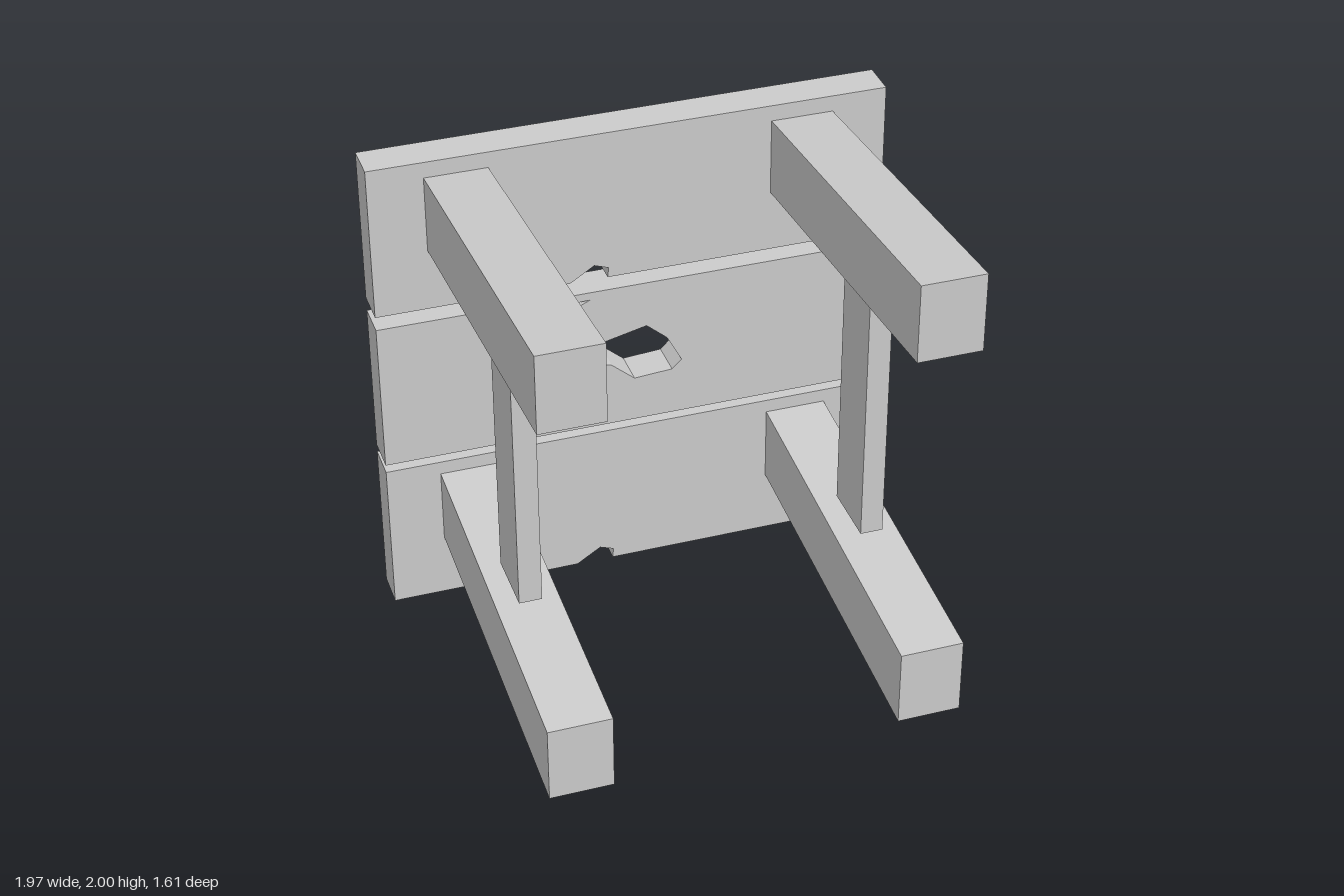
import * as THREE from 'three';

const material = new THREE.MeshStandardMaterial({ color: 0xcccccc, flatShading: true });
const BACK = -0.775, FRONT = -0.63;
const toPoints = (list) => list.map(([x, y]) => new THREE.Vector2(x, y));

function addMesh(parent, name, geometry) {
  const mesh = new THREE.Mesh(geometry, material);
  mesh.name = name;
  parent.add(mesh);
  return mesh;
}

// Board with an optional chipped lower edge and broken holes
function plank(y0, y1, chipped, holes = []) {
  const chip = chipped
    ? [[-0.245, y0], [-0.15, y0 + 0.06], [-0.095, y0 + 0.04], [-0.1, y0]]
    : [];
  const shape = new THREE.Shape(toPoints([[-0.983, y0], ...chip, [0.983, y0], [0.983, y1], [-0.983, y1]]));
  shape.holes = holes.map((h) => new THREE.Path(toPoints(h)));
  const geometry = new THREE.ExtrudeGeometry(shape, { depth: FRONT - BACK, bevelEnabled: false });
  return geometry.translate(0, 0, BACK);
}

// Sloping square beam: side profile in (z, y), extruded across x
function beam(backY, frontY, x) {
  const h = 0.302, width = 0.238;
  const shape = new THREE.Shape(toPoints([
    [FRONT, backY], [0.805, frontY], [0.805, frontY + h], [FRONT, backY + h],
  ]));
  const geometry = new THREE.ExtrudeGeometry(shape, { depth: width, bevelEnabled: false });
  geometry.translate(0, 0, -width / 2);
  geometry.rotateY(-Math.PI / 2); // profile x becomes z
  return geometry.translate(x, 0, 0);
}

export function createModel() {
  const model = new THREE.Group();
  model.name = 'brokenPlankStand';

  // Three back boards
  const crack = [[-0.575, 1.205], [-0.325, 1.147], [-0.17, 1.218]];
  const hole = [[-0.192, 0.94], [-0.12, 1.02], [0.05, 1.06], [0.13, 0.99],
    [0.188, 0.88], [0.15, 0.843], [0, 0.832], [-0.09, 0.91]];
  addMesh(model, 'lowerPlank', plank(0, 0.613, true));
  addMesh(model, 'middlePlank', plank(0.645, 1.25, false, [crack, hole]));
  addMesh(model, 'upperPlank', plank(1.305, 1.915, true));

  for (const [side, s] of [['left', 1], ['right', -1]]) {
    // Beams and the post between them
    addMesh(model, side + 'UpperBeam', beam(1.55, 1.698, s * 0.655));
    addMesh(model, side + 'LowerBeam', beam(0.257, 0.143, s * 0.655));
    addMesh(model, side + 'Post', new THREE.BoxGeometry(0.086, 1.09, 0.25))
      .position.set(s * 0.656, 1.08, 0.07);

    // Slightly oval bolt heads on the back
    for (const [row, y] of [['Upper', 1.608], ['Middle', 0.958]]) {
      const bolt = new THREE.CylinderGeometry(0.06, 0.06, 0.04, 16);
      bolt.rotateX(Math.PI / 2).scale(0.8, 1, 1);
      addMesh(model, side + row + 'Bolt', bolt).position.set(s * 0.656, y, -0.785);
    }
  }
  return model;
}
